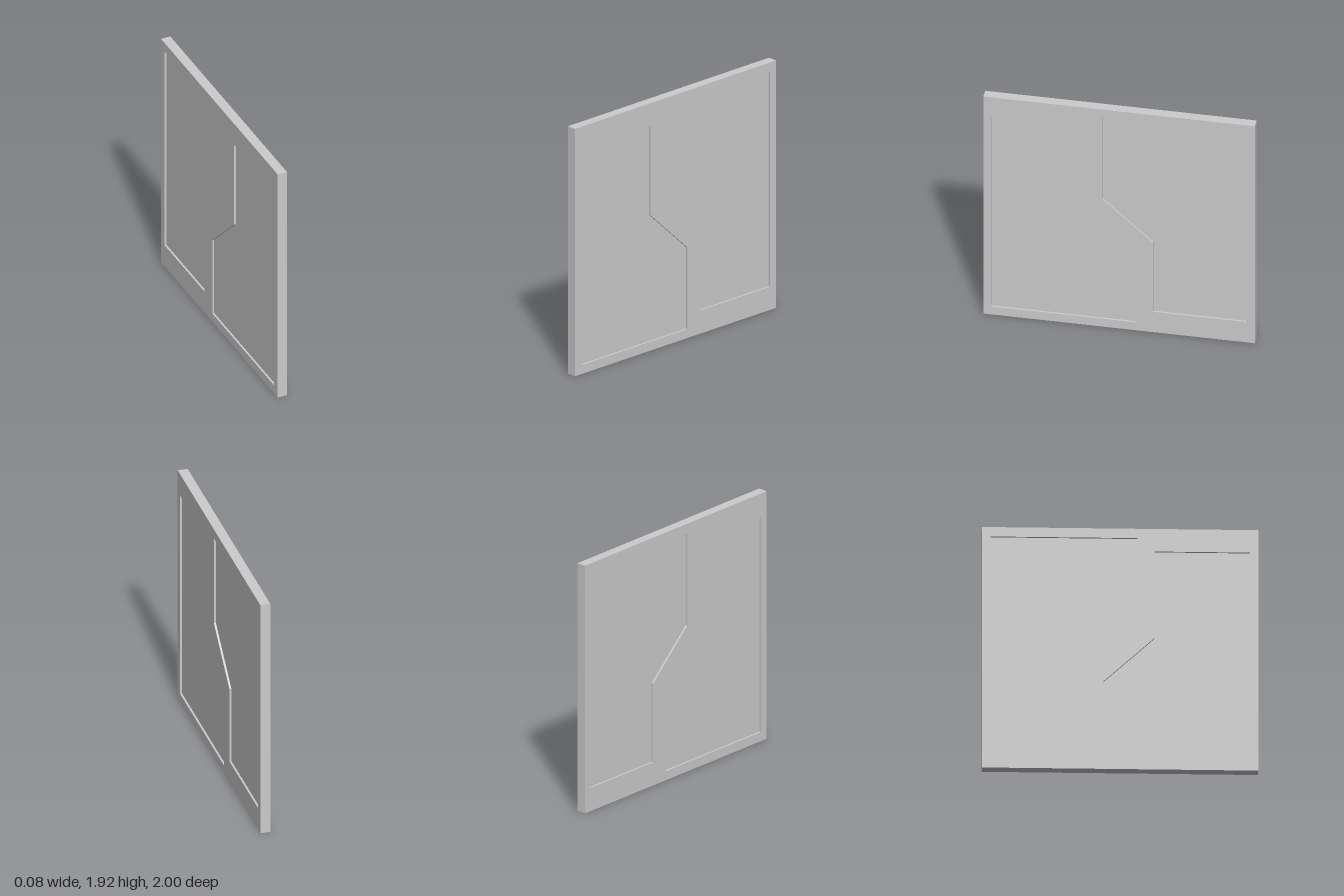
import * as THREE from 'three';

const HEIGHT = 1.92;
const THICKNESS = 0.075;
const RECESS = 0.015;

// Inset outlines as [z, y] corners, either side of the stepped middle rail
const INSETS = {
  frontInset: [[0.94, 0.07], [0.94, 1.74], [0.25, 1.74], [0.25, 1.05], [-0.12, 0.7], [-0.12, 0.07]],
  backInset: [[-0.94, 0.18], [-0.94, 1.845], [0.125, 1.845], [0.125, 1.13], [-0.25, 0.79], [-0.25, 0.18]],
};

const toPoints = (corners) => corners.map(([z, y]) => new THREE.Vector2(z, y));

// Extrude a z-y outline to a slab centred on x = 0
function slab(name, shape, depth, material) {
  const geometry = new THREE.ExtrudeGeometry(shape, { depth, bevelEnabled: false });
  geometry.translate(0, 0, -depth / 2).rotateY(-Math.PI / 2);
  const mesh = new THREE.Mesh(geometry, material);
  mesh.name = name;
  return mesh;
}

export function createModel() {
  const group = new THREE.Group();
  group.name = 'doorPanel';
  const material = new THREE.MeshStandardMaterial({ color: 0xcccccc });

  // Outer frame with two openings
  const frame = new THREE.Shape(toPoints([[-1, 0], [1, 0], [1, HEIGHT], [-1, HEIGHT]]));
  frame.holes = Object.values(INSETS).map((corners) => new THREE.Path(toPoints(corners)));
  group.add(slab('frame', frame, THICKNESS, material));

  // Thinner panels fill the openings, recessed on both faces
  for (const [name, corners] of Object.entries(INSETS)) {
    group.add(slab(name, new THREE.Shape(toPoints(corners)), THICKNESS - 2 * RECESS, material));
  }
  return group;
}
